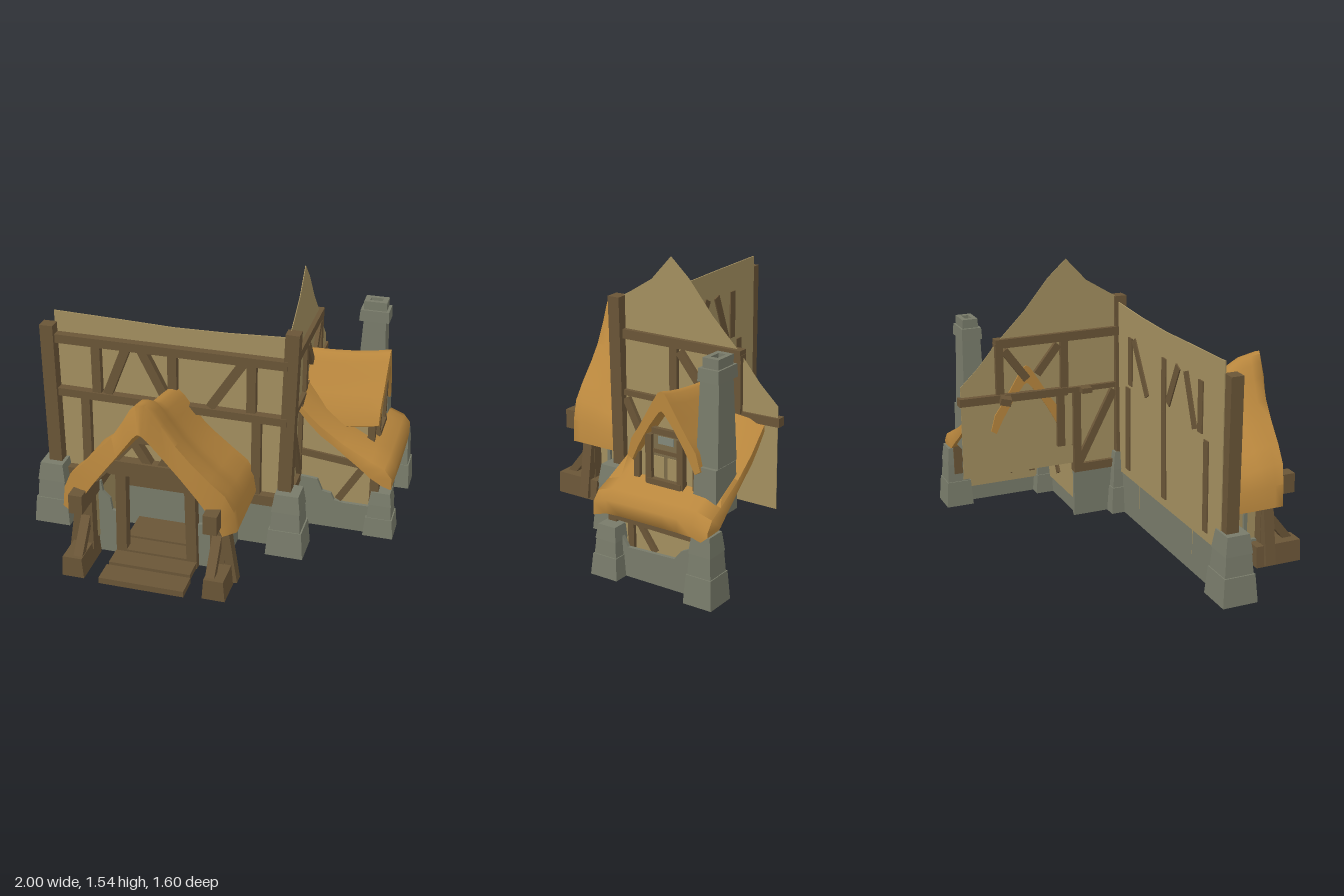
import * as THREE from 'three';
import { toCreasedNormals } from 'three/addons/utils/BufferGeometryUtils.js';

const mat = (name, color) => {
  const m = new THREE.MeshStandardMaterial({ color, side: THREE.DoubleSide });
  m.name = name;
  return m;
};

export function createModel() {
  const plaster = mat('plaster', 0xa38f5f), timber = mat('timber', 0x6a5537), stone = mat('stone', 0x787b6a),
    thatch = mat('thatch', 0xb8863d), pane = mat('window pane', 0x7c6b49), lead = mat('window glint', 0x82877a);
  const root = new THREE.Group();
  root.name = 'timberCottage';

  const add = (name, geo, m, x = 0, y = 0, z = 0) => {
    const mesh = new THREE.Mesh(geo, m);
    mesh.name = name;
    mesh.position.set(x, y, z);
    root.add(mesh);
    return mesh;
  };
  // box given by its lower and upper corners
  const block = (name, m, a, b) => add(name, new THREE.BoxGeometry(b[0] - a[0], b[1] - a[1], b[2] - a[2]), m,
    (a[0] + b[0]) / 2, (a[1] + b[1]) / 2, (a[2] + b[2]) / 2);
  // timber between two points, w thick along x and d thick along z
  const beam = (name, a, b, w = 0.05, d = 0.05) => {
    const p = new THREE.Vector3(...a), q = new THREE.Vector3(...b);
    const mesh = add(name, new THREE.BoxGeometry(w, p.distanceTo(q), d), timber);
    mesh.position.copy(p).add(q).multiplyScalar(0.5);
    mesh.quaternion.setFromUnitVectors(new THREE.Vector3(0, 1, 0), q.clone().sub(p).normalize());
  };
  // flat panel facing z, or facing x with outline points read as (z, y)
  const panel = (name, m, pts, at, t = 0.015, facesX = false) => {
    const geo = new THREE.ExtrudeGeometry(new THREE.Shape(pts.map(p => new THREE.Vector2(...p))), { depth: t, bevelEnabled: false });
    geo.translate(0, 0, -t / 2);
    if (facesX) geo.rotateY(-Math.PI / 2);
    return add(name, geo, m, facesX ? at : 0, 0, facesX ? 0 : at);
  };
  // hollow block, open below, narrowing towards its top
  const taper = (name, m, x, y, z, w, d, h, k = 0.85, kd = k) => {
    const geo = new THREE.BoxGeometry(w, h, d), p = geo.attributes.position;
    for (let i = 0; i < p.count; i++) if (p.getY(i) > 0) p.setXYZ(i, p.getX(i) * k, p.getY(i), p.getZ(i) * kd);
    geo.setIndex([...geo.index.array].filter((_, i) => i < 18 || i >= 24));
    geo.clearGroups();
    geo.computeVertexNormals();
    return add(name, geo, m, x, y + h / 2, z);
  };
  // thick shell: outer and inner outlines swept along z by place(point, isInner, k)
  const shell = (name, outer, inner, steps, place) => {
    const m = outer.length, loop = [...outer, ...inner.slice().reverse()], n = loop.length, pos = [], idx = [];
    for (let k = 0; k <= steps; k++) loop.forEach((p, i) => pos.push(...place(p, i >= m, k / steps)));
    for (let k = 0; k < steps; k++) for (let i = 0; i < n; i++) {
      const a = k * n + i, b = k * n + (i + 1) % n;
      idx.push(a, a + n, b, b, a + n, b + n);
    }
    for (let i = 0; i < m - 1; i++) {
      const f = steps * n, j = n - 1 - i;
      idx.push(f + i, f + j, f + j - 1, f + i, f + j - 1, f + i + 1);
      idx.push(i, j - 1, j, i, i + 1, j - 1);
    }
    const geo = new THREE.BufferGeometry();
    geo.setAttribute('position', new THREE.Float32BufferAttribute(pos, 3));
    geo.setIndex(idx);
    return add(name, toCreasedNormals(geo, 1.25), thatch);
  };
  const mirror = half => [...half.slice(1).reverse().map(([x, y]) => [-x, y]), ...half];

  // front wall: long beams lie on its face, studs pass through it
  const F = 0.18, B = 0.19;
  panel('frontWall', plaster, [[-0.87, 0.25], [0.42, 0.25], [0.42, 1.265], [0.1, 1.25], [-0.2, 1.245], [-0.5, 1.255], [-0.87, 1.265]], F - 0.016, 0.008);
  panel('frontStoneBase', stone, [[-0.9, 0], [0.45, 0], [0.45, 0.3], [0.36, 0.3], [0.36, 0.26], [-0.78, 0.26], [-0.8, 0.32], [-0.9, 0.32]], F, 0.02);
  beam('topBeam', [-0.9, 1.12, B], [0.43, 1.12, B], 0.05, 0.05);
  beam('middleBeam', [-0.88, 0.8, B], [0.43, 0.79, B], 0.045, 0.05);
  beam('sillBeam', [-0.85, 0.295, B], [0.43, 0.295, B], 0.06, 0.05);
  beam('leftCornerPost', [-0.885, 0.3, 0.2], [-0.895, 1.2, 0.2], 0.075, 0.07);
  beam('rightCornerPost', [0.425, 0.3, 0.175], [0.45, 1.3, 0.175], 0.075, 0.07);
  [[-0.63, 0.82, -0.63, 1.1], [-0.57, 0.82, -0.46, 1.1], [-0.25, 0.86, -0.37, 1.1], [-0.2, 0.8, -0.2, 1.1],
    [0.01, 0.82, 0.19, 1.1], [0.235, 0.82, 0.235, 1.1],
    [-0.705, 0.3, -0.7, 0.8], [0.265, 0.3, 0.265, 0.8], [-0.215, 0.3, -0.2, 0.8],
  ].forEach(([x0, y0, x1, y1]) => beam('frontStud', [x0, y0, F], [x1, y1, F], 0.05, 0.055));

  // gabled side wall
  const S = 0.43;
  panel('gableWall', plaster, [[0.17, 0.28], [0.17, 1.29], [0.1, 1.33], [-0.03, 1.41], [-0.15, 1.54], [-0.26, 1.44], [-0.4, 1.27],
    [-0.57, 1.1], [-0.68, 0.97], [-0.785, 0.87], [-0.785, 0.33], [-0.1, 0.33], [-0.1, 0.28]], S, 0.004, true);
  panel('sideStoneBase', stone, [[0.17, 0], [0.17, 0.28], [-0.12, 0.28], [-0.12, 0]], S, 0.02, true);
  beam('sideTopBeam', [S, 1.1, 0.16], [S, 1.1, -0.58], 0.055, 0.05);
  beam('sideMiddleBeam', [S - 0.01, 0.78, -0.16], [S - 0.01, 0.79, -0.8], 0.05, 0.045);
  beam('sideShortBeam', [S, 0.78, 0.15], [S, 0.78, -0.16], 0.05, 0.03);
  beam('sideSillBeam', [S, 0.3, 0.15], [S, 0.3, -0.12], 0.05, 0.05);
  beam('beamEnd', [0.36, 0.78, -0.055], [0.44, 0.78, -0.055], 0.03, 0.06);
  beam('beamEnd', [0.34, 0.78, -0.55], [0.43, 0.79, -0.53], 0.04, 0.06);
  [[-0.175, 0.8, -0.175, 1.1], [-0.21, 1.06, -0.34, 0.9], [-0.53, 1.06, -0.4, 0.88], [-0.56, 0.8, -0.56, 1.1],
    [0.13, 0.75, -0.09, 0.33], [-0.1, 0.3, -0.1, 0.78], [-0.2, 0.45, -0.2, 0.78],
  ].forEach(([z0, y0, z1, y1]) => beam('sideStud', [S, y0, z0], [S, y1, z1], 0.05, 0.045));

  // stepped stone buttresses: x, z, height, width
  [[-0.895, 0.215, 0.37, 0.21], [0.45, 0.19, 0.37, 0.21], [0.91, -0.125, 0.27, 0.17], [0.915, -0.69, 0.36, 0.17]].forEach(([x, z, h, w]) => {
    taper('buttressFoot', stone, x, 0, z, w, w * 0.95, h * 0.42, 0.88);
    taper('buttressMiddle', stone, x, h * 0.42, z, w * 0.8, w * 0.78, h * 0.3, 0.9);
    taper('buttressTop', stone, x, h * 0.72, z, w * 0.76, w * 0.74, h * 0.28, 0.82);
  });

  // porch roof, flared at the eaves and peaked at the front
  const PX = -0.2;
  const porchOut = mirror([[0, 1.07], [0.025, 1.062], [0.06, 1.02], [0.1, 0.95], [0.17, 0.84], [0.24, 0.755], [0.34, 0.65], [0.42, 0.57], [0.465, 0.47], [0.48, 0.35]]);
  const porchIn = mirror([[0, 0.92], [0.015, 0.91], [0.04, 0.88], [0.09, 0.81], [0.14, 0.74], [0.2, 0.66], [0.28, 0.55], [0.34, 0.46], [0.38, 0.4], [0.41, 0.33]]);
  shell('porchRoof', porchOut, porchIn, 10, ([x, y], inner, k) => {
    const t = Math.min(1, Math.abs(x) / 0.48);
    const front = 0.635 + 0.06 * (1 - t ** 5) + 0.075 * (1 - t) ** 3 - (inner ? 0 : 0.035 * (1 - t));
    const lift = 0.765 + 0.16 * k + 0.08 * THREE.MathUtils.smoothstep(k, 0.54, 0.8);
    return [PX + x * (0.98 + 0.02 * k), 0.335 + (y - 0.335) * lift, 0.172 + (front - 0.172) * k];
  });

  // porch walls, posts and braces on both sides
  for (const s of [-1, 1]) {
    const x = PX + 0.365 * s, X = d => PX + d * s;
    taper('postFoot', timber, X(0.39), 0, 0.64, 0.125, 0.27, 0.12, 0.85, 1);
    beam('porchPost', [x, 0.08, 0.58], [x, 0.48, 0.58], 0.075, 0.065);
    beam('leaningPost', [X(0.45), 0.01, 0.58], [X(0.4), 0.34, 0.58], 0.05, 0.06);
    beam('porchBrace', [x, 0.1, 0.74], [x, 0.3, 0.58], 0.05, 0.045);
    beam('eaveBeam', [x, 0.44, 0.175], [x, 0.44, 0.75], 0.075, 0.11);
    panel('porchSideWall', plaster, [[0.17, 0.1], [0.55, 0.1], [0.55, 0.45], [0.17, 0.45]], X(0.34), 0.008, true);
    panel('porchSideStone', stone, [[0.17, 0], [0.55, 0], [0.55, 0.13], [0.46, 0.14], [0.44, 0.17], [0.36, 0.18], [0.33, 0.23], [0.26, 0.25], [0.17, 0.29]], X(0.355), 0.02, true);
    panel('porchFrontStone', stone, [[X(0.22), 0], [X(0.36), 0], [X(0.36), 0.45], [X(0.32), 0.44], [X(0.31), 0.38], [X(0.27), 0.34], [X(0.26), 0.27], [X(0.22), 0.26]], 0.48, 0.02);
    beam('doorPost', [X(0.2), 0, 0.5], [X(0.19), 0.56, 0.5], 0.058, 0.06);
    beam('gableBrace', [X(0.12), 0.74, 0.5], [X(0.035), 0.6, 0.5], 0.045, 0.05);
    beam('porchRafter', [X(0.37), 0.43, 0.5], [X(0.02), 0.84, 0.5], 0.03, 0.06);
  }
  beam('doorLintel', [-0.46, 0.57, 0.51], [0.06, 0.57, 0.51], 0.085, 0.06);
  beam('gableTie', [-0.34, 0.745, 0.5], [-0.06, 0.745, 0.5], 0.035, 0.05);
  [[0.03, 0.67, 0.8], [0.04, 0.54, 0.66], [0.045, 0.41, 0.53], [0.05, 0.2, 0.4]].forEach(([y, z0, z1], i) =>
    block('porchPlank', timber, [-0.435 + 0.008 * i, y - 0.025, z0], [0.035 - 0.006 * i, y + 0.01, z1]));

  // annex walls
  const AX = 0.87, AZ = -0.11;
  panel('annexFrontWall', plaster, [[0.43, 0.1], [AX, 0.1], [AX, 0.38], [0.7, 0.49], [0.43, 0.68]], AZ, 0.01);
  panel('annexFrontStone', stone, [[0.43, 0], [0.92, 0], [0.92, 0.17], [0.7, 0.17], [0.65, 0.18], [0.63, 0.22], [0.58, 0.23], [0.55, 0.3], [0.43, 0.31]], AZ + 0.02, 0.02);
  panel('annexSideWall', plaster, [[AZ, 0.1], [AZ, 0.38], [-0.7, 0.38], [-0.7, 0.1]], AX, 0.01, true);
  panel('annexSideStone', stone, [[AZ, 0], [AZ, 0.25], [-0.18, 0.22], [-0.22, 0.16], [-0.5, 0.17], [-0.54, 0.22], [-0.6, 0.25], [-0.63, 0.32], [-0.7, 0.33], [-0.7, 0]], AX + 0.035, 0.02, true);
  beam('annexFrontBeam', [0.43, 0.46, AZ], [0.84, 0.415, AZ], 0.04, 0.04);
  beam('annexFrontBrace', [0.67, 0.18, AZ], [0.8, 0.4, AZ], 0.04, 0.035);
  beam('annexCornerPost', [AX, 0.2, AZ], [AX, 0.38, AZ], 0.05, 0.05);
  beam('annexBackPost', [AX, 0.2, -0.69], [AX, 0.38, -0.69], 0.05, 0.05);
  beam('annexSideBeam', [AX, 0.3, AZ], [AX, 0.29, -0.69], 0.05, 0.035);
  beam('annexSideStud', [AX, 0.15, -0.225], [AX, 0.32, -0.225], 0.05, 0.035);
  beam('annexSideBrace', [AX, 0.3, -0.27], [AX, 0.16, -0.37], 0.05, 0.03);

  // annex lean-to roof
  shell('annexRoof',
    [[0.44, 0.8], [0.5, 0.745], [0.57, 0.68], [0.7, 0.59], [0.86, 0.505], [0.94, 0.47], [0.98, 0.42], [0.98, 0.35]],
    [[0.44, 0.73], [0.5, 0.66], [0.57, 0.59], [0.65, 0.535], [0.72, 0.48], [0.8, 0.42], [0.86, 0.37], [0.93, 0.33]], 8,
    ([x, y], inner, k) => {
      const e = 2 * k - 1, flare = 0.32 + 0.02 * (x - 0.44) / 0.53;
      return [x - 0.012 * e ** 4, y - (inner ? 0 : 0.035 * e ** 6), -0.39 + flare * e];
    });

  // dormer
  const DZ = -0.4;
  panel('dormerBody', plaster, [[-0.23, 0.49], [-0.23, 0.64], [DZ, 0.88], [-0.57, 0.64], [-0.57, 0.49]], 0.64, 0.36, true);
  const dormer = shell('dormerRoof',
    mirror([[0, 0.99], [0.02, 0.98], [0.05, 0.935], [0.09, 0.87], [0.14, 0.79], [0.19, 0.72], [0.215, 0.63]]),
    mirror([[0, 0.89], [0.015, 0.88], [0.035, 0.855], [0.07, 0.81], [0.115, 0.74], [0.15, 0.68], [0.185, 0.61]]), 6,
    ([x, y], inner, k) => {
      const crest = 1 - Math.abs(x) / 0.215;
      return [x, y - 0.035 * (1 - k ** 3) + 0.01 * crest * k, 0.42 + (0.44 + 0.015 * crest) * k];
    });
  dormer.rotation.y = Math.PI / 2;
  dormer.position.z = DZ;
  for (const s of [-1, 1]) {
    beam('dormerPost', [0.82, 0.49, DZ + 0.175 * s], [0.82, 0.65, DZ + 0.175 * s], 0.04, 0.035);
    beam('windowJamb', [0.83, 0.5, DZ + 0.093 * s], [0.83, 0.76, DZ + 0.093 * s], 0.05, 0.035);
    block('lowerPane', plaster, [0.834, 0.54, DZ + 0.04 * s - 0.03], [0.838, 0.65, DZ + 0.04 * s + 0.03]);
  }
  beam('windowSill', [0.835, 0.52, DZ - 0.1], [0.835, 0.52, DZ + 0.1], 0.05, 0.03);
  beam('windowHead', [0.83, 0.78, DZ - 0.08], [0.83, 0.78, DZ + 0.08], 0.03, 0.03);
  block('windowPane', pane, [0.826, 0.53, DZ - 0.08], [0.834, 0.775, DZ + 0.08]);
  block('upperGlint', lead, [0.834, 0.715, DZ - 0.045], [0.838, 0.755, DZ + 0.045]);
  block('windowRail', timber, [0.834, 0.665, DZ - 0.08], [0.839, 0.685, DZ + 0.08]);

  // chimney with an open top
  taper('chimneyBase', stone, 0.76, 0.4, -0.635, 0.19, 0.135, 0.25, 0.92);
  taper('chimneyStack', stone, 0.745, 0.65, -0.632, 0.165, 0.125, 0.43, 0.76, 0.85);
  taper('chimneyCollar', stone, 0.742, 1.07, -0.635, 0.17, 0.12, 0.065, 0.95);
  const rim = new THREE.Shape([[-0.065, -0.045], [0.065, -0.045], [0.065, 0.045], [-0.065, 0.045]].map(p => new THREE.Vector2(...p)));
  rim.holes.push(new THREE.Path([[-0.035, -0.02], [-0.035, 0.02], [0.035, 0.02], [0.035, -0.02]].map(p => new THREE.Vector2(...p))));
  const cap = new THREE.ExtrudeGeometry(rim, { depth: 0.055, bevelEnabled: false });
  cap.rotateX(-Math.PI / 2);
  add('chimneyCap', cap, stone, 0.742, 1.13, -0.637);
  return root;
}
